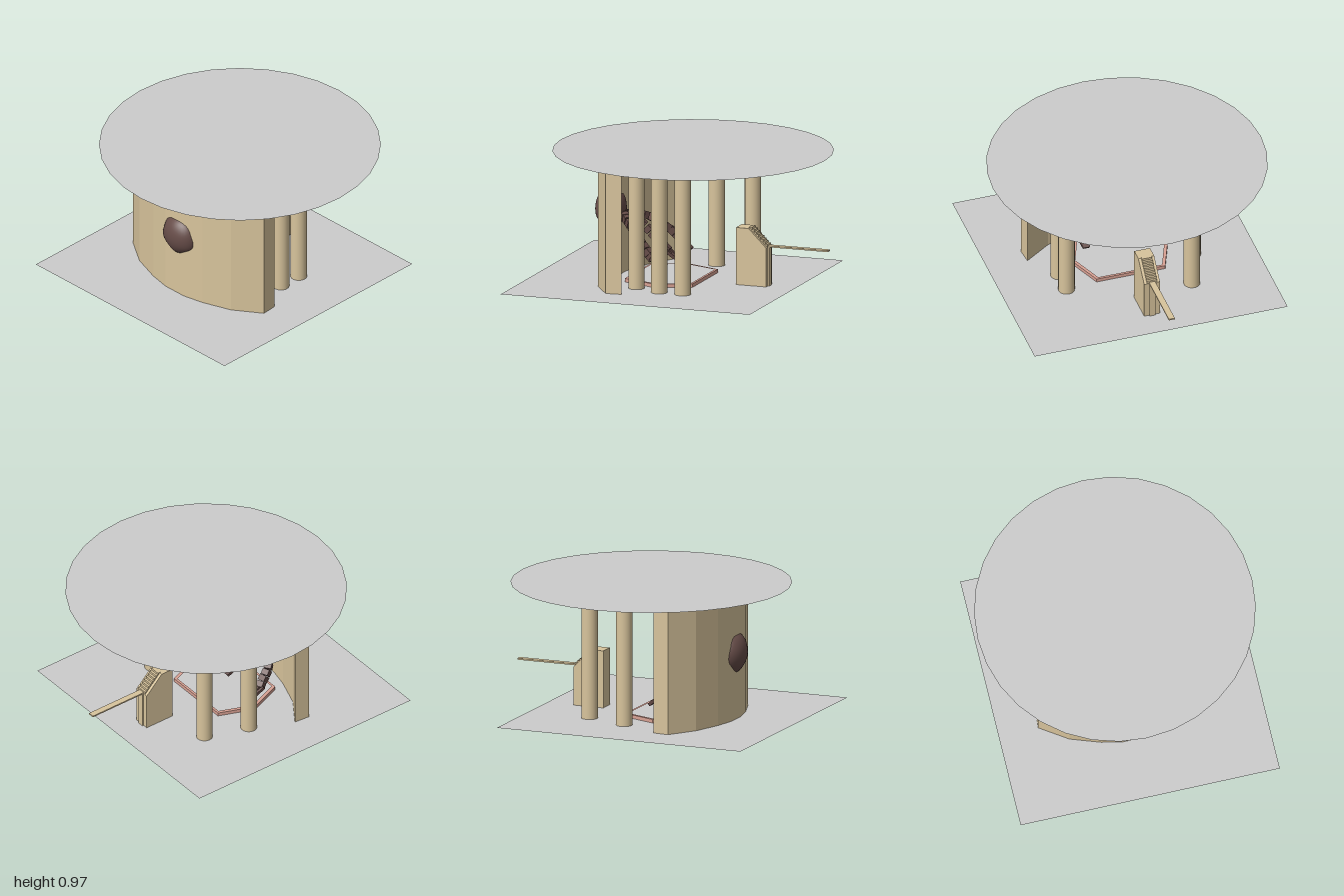
import * as THREE from 'three';

const material = (color, extra = {}) => new THREE.MeshStandardMaterial({ color, ...extra });

export function createModel() {
  const group = new THREE.Group();
  const grey = material(0xcccccc, { side: THREE.DoubleSide });
  const tan = material(0xd8c49c);
  const tanFlat = material(0xd8c49c, { flatShading: true });
  const pink = material(0xd9a294, { flatShading: true });
  const brown = material(0x664c48);
  const brownFlat = material(0x664c48, { flatShading: true });

  const add = (name, geometry, mat, x = 0, y = 0, z = 0) => {
    const mesh = new THREE.Mesh(geometry, mat);
    mesh.name = name;
    mesh.position.set(x, y, z);
    group.add(mesh);
    return mesh;
  };
  // Shape from [x, z] plan points, raised along y
  const planShape = (pts) => new THREE.Shape(pts.map(([x, z]) => new THREE.Vector2(x, -z)));
  const raise = (shape, depth) =>
    new THREE.ExtrudeGeometry(shape, { depth, bevelEnabled: false }).rotateX(-Math.PI / 2);

  // Floor sheet and round roof sheet
  add('floor', new THREE.PlaneGeometry(1.77, 1.77).rotateX(-Math.PI / 2), grey, 0, 0.086, 0.115);
  add('roof', new THREE.CircleGeometry(0.9375, 32).rotateX(-Math.PI / 2), grey, 0, 0.966, -0.035);

  // Thick curved front wall
  const half = [[0.615, 0.355], [0.43, 0.48], [0.23, 0.55], [0.085, 0.58]];
  const inner = [[0.605, 0.245], [0.42, 0.37], [0.22, 0.44], [0.08, 0.47]];
  const mirror = (pts) => pts.map(([x, z]) => [-x, z]).reverse();
  const wallPlan = [...half, ...mirror(half), ...mirror(inner).reverse(), ...inner.slice().reverse()];
  add('frontWall', raise(planShape(wallPlan), 0.875), tanFlat, 0, 0.085, 0);

  // Round pillars
  const pillars = [[0.455, -0.133], [0.455, 0.034], [0.383, 0.223], [-0.36, -0.325], [-0.46, -0.03]];
  for (const [x, z] of pillars) {
    add('pillar', new THREE.CylinderGeometry(0.055, 0.055, 0.9, 24), tan, x, 0.513, z);
  }

  // Six-sided sunken basin
  const basin = [[0.335, 0], [0.24, 0.24], [-0.24, 0.24], [-0.335, 0], [-0.24, -0.24], [0.24, -0.24]];
  const rim = planShape(basin);
  rim.holes.push(new THREE.Path(basin.map(([x, z]) => new THREE.Vector2(x * 0.93, -z * 0.93))));
  add('basinRim', raise(rim, 0.11), pink, 0, 0, 0.12);
  add('basinFloor', raise(planShape(basin), 0.01), pink, 0, 0, 0.12);

  // Rear chute: sloped block, small steps, ridge and long plank
  const side = new THREE.Shape([[0.36, 0.085], [0.575, 0.085], [0.575, 0.35], [0.45, 0.475], [0.36, 0.475]]
    .map(([z, y]) => new THREE.Vector2(z, y)));
  const block = new THREE.ExtrudeGeometry(side, { depth: 0.11, bevelEnabled: false })
    .translate(0, 0, -0.055).rotateY(Math.PI / 2);
  add('chuteBlock', block, tanFlat);
  for (let i = 0; i < 8; i++) {
    add('chuteStep', new THREE.BoxGeometry(0.07, 0.02, 0.02), tanFlat,
      0, 0.47 - i * 0.0155, -0.456 - i * 0.0155);
  }
  add('chuteRidge', new THREE.BoxGeometry(0.04, 0.265, 0.02), tanFlat, 0, 0.2175, -0.575);
  add('plank', new THREE.BoxGeometry(0.042, 0.01, 0.44), tanFlat, 0, 0.355, -0.78);

  // Rounded five-cornered boulder set in the wall
  const rock = new THREE.IcosahedronGeometry(1, 6);
  const pos = rock.attributes.position;
  const normals = [];
  for (let i = 0; i < pos.count; i++) {
    const [x, y, z] = [pos.getX(i), pos.getY(i), pos.getZ(i)];
    const lobe = 1 + 0.05 * Math.cos(5 * (Math.atan2(y, x) + Math.PI / 2)) * Math.hypot(x, y);
    pos.setXYZ(i, x * 0.138 * lobe, y * 0.138 * lobe, z * 0.1);
    const n = new THREE.Vector3(x / 0.138, y / 0.138, z / 0.1).normalize();
    normals.push(n);
  }
  normals.forEach((n, i) => rock.attributes.normal.setXYZ(i, n.x, n.y, n.z));
  add('boulder', rock, brown, 0.022, 0.535, 0.54);

  // Segmented limbs reaching from the boulder over the basin, each with a claw
  for (const tipX of [0.24, -0.04, -0.33]) {
    const limb = new THREE.CatmullRomCurve3([
      new THREE.Vector3(0.02, 0.5, 0.46),
      new THREE.Vector3(tipX * 0.5, 0.46, 0.37),
      new THREE.Vector3(tipX * 0.9, 0.36, 0.26),
      new THREE.Vector3(tipX, 0.27, 0.17),
    ]);
    for (let i = 0; i <= 9; i++) {
      const p = limb.getPoint(i / 9);
      const segment = add('limbSegment', new THREE.BoxGeometry(0.05, 0.05, 0.04), brownFlat, p.x, p.y, p.z);
      segment.lookAt(p.clone().add(limb.getTangent(i / 9)));
    }
    for (const s of [-1, 0, 1]) {
      const finger = add('clawFinger', new THREE.BoxGeometry(0.018, 0.022, 0.09), brownFlat,
        tipX + s * 0.024, 0.24, 0.135);
      finger.rotation.set(-0.7, s * 0.25, 0);
    }
  }
  return group;
}
